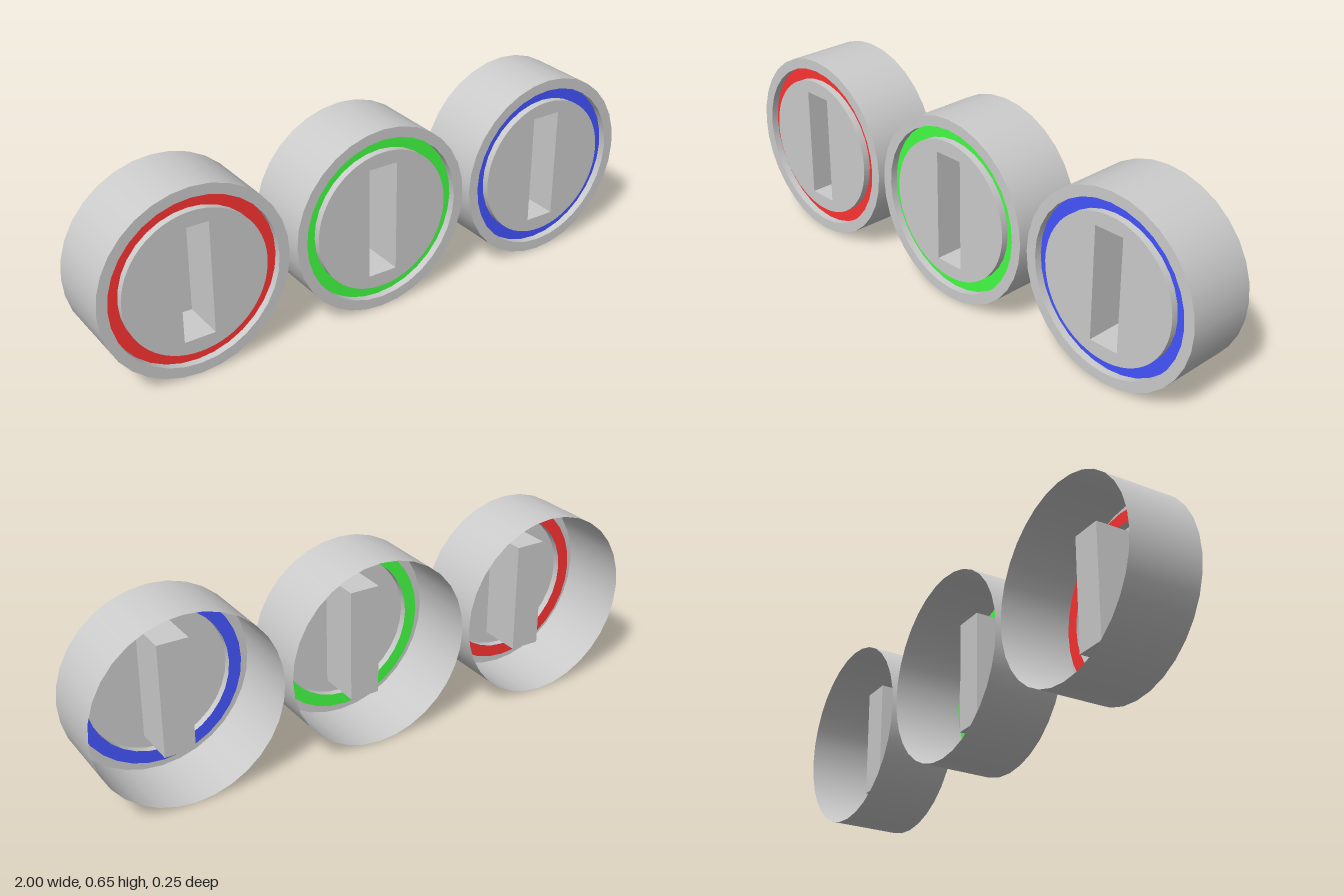
import * as THREE from 'three';

const SEG = 32;
const R = 0.324, GROOVE_OUT = 0.288, GROOVE_IN = 0.245;
const FRONT = 0.125, BACK = -0.125, FLOOR = 0.1;
const SLOT_W = 0.106, SLOT_H = 0.39, SLOT_BACK = -0.03;

const material = (color) => new THREE.MeshStandardMaterial({ color, side: THREE.DoubleSide });

function part(name, geometry, mat) {
  const mesh = new THREE.Mesh(geometry, mat);
  mesh.name = name;
  return mesh;
}

// Open tube along z between two depths
function wall(radius, z0, z1) {
  return new THREE.CylinderGeometry(radius, radius, z1 - z0, SEG, 1, true)
    .rotateX(Math.PI / 2).translate(0, 0, (z0 + z1) / 2);
}

// Flat ring facing the front
function ring(inner, outer, z) {
  return new THREE.RingGeometry(inner, outer, SEG).translate(0, 0, z);
}

// Centre disc with a rectangular opening
function slottedDisc() {
  const shape = new THREE.Shape().absarc(0, 0, GROOVE_IN, 0, Math.PI * 2, false);
  const w = SLOT_W / 2, h = SLOT_H / 2;
  shape.holes.push(new THREE.Path([[-w, -h], [-w, h], [w, h], [w, -h]].map((p) => new THREE.Vector2(...p))));
  return new THREE.ShapeGeometry(shape, SEG).translate(0, 0, FRONT);
}

// Box pocket with its front face left out
function pocket() {
  const depth = FRONT - SLOT_BACK;
  const box = new THREE.BoxGeometry(SLOT_W, SLOT_H, depth).translate(0, 0, (FRONT + SLOT_BACK) / 2);
  const index = Array.from(box.index.array);
  index.splice(24, 6);
  box.setIndex(index);
  box.clearGroups();
  return box;
}

function makeCap(name, color, grey) {
  const cap = new THREE.Group();
  cap.name = name;
  cap.add(
    part('outerShell', wall(R, BACK, FRONT), grey),
    part('frontRim', ring(GROOVE_OUT, R, FRONT), grey),
    part('grooveOuterWall', wall(GROOVE_OUT, FLOOR, FRONT), grey),
    part('colouredRing', ring(GROOVE_IN, GROOVE_OUT, FLOOR), material(color)),
    part('grooveInnerWall', wall(GROOVE_IN, FLOOR, FRONT), grey),
    part('slottedDisc', slottedDisc(), grey),
    part('slotPocket', pocket(), grey),
  );
  return cap;
}

export function createModel() {
  const model = new THREE.Group();
  model.name = 'slottedCaps';
  const grey = material(0xcccccc);
  // Three equal caps side by side
  [['redCap', 0xff3333], ['greenCap', 0x44ff44], ['blueCap', 0x4455ff]].forEach(([name, color], i) => {
    const cap = makeCap(name, color, grey);
    cap.position.set((i - 1) * (1 - R), R, 0);
    model.add(cap);
  });
  return model;
}
